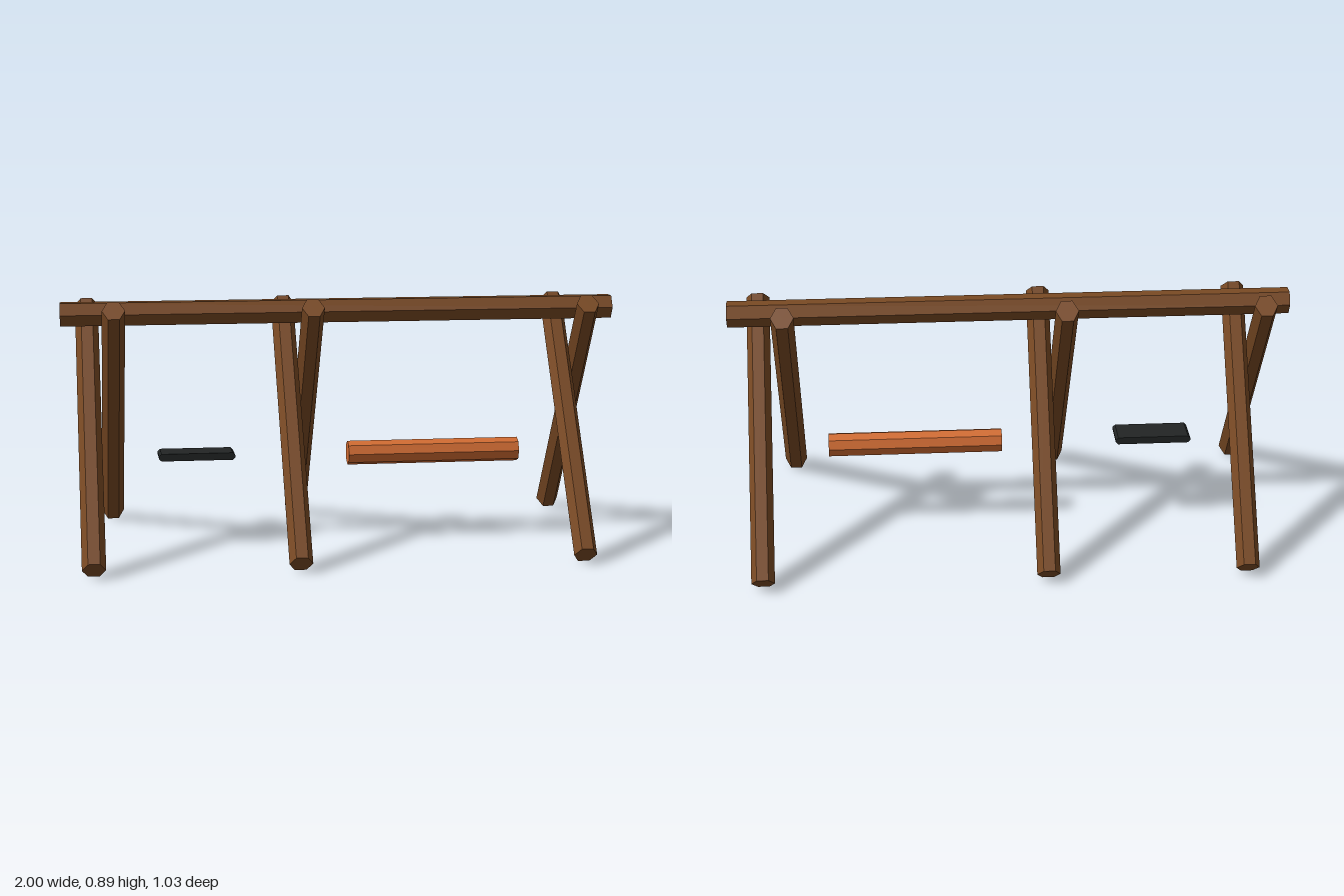
import * as THREE from 'three';

const paint = (color) => new THREE.MeshStandardMaterial({ color, flatShading: true });

export function createModel() {
  const model = new THREE.Group();
  const wood = paint(0x7a4a24);
  const add = (name, geometry, material) => {
    const mesh = new THREE.Mesh(geometry, material);
    mesh.name = name;
    model.add(mesh);
    return mesh;
  };

  // Hexagonal top beam, flat side up
  const beam = add('topBeam', new THREE.CylinderGeometry(0.047, 0.047, 2, 6), wood);
  beam.rotation.z = Math.PI / 2;
  beam.position.y = 0.845;

  // Crossed hexagonal legs with slanted end cuts; side is +1 for front, -1 for back
  const makeLeg = (side) => {
    const foot = new THREE.Vector3(0, 0.0285, 0.4875 * side);
    const top = new THREE.Vector3(0, 0.866, -0.1 * side);
    const hex = new THREE.CylinderGeometry(1, 1, 1, 6);
    hex.rotateY(Math.PI / 2); // corners towards +x and -x
    const cut = 0.0275 / Math.cos(Math.PI / 6);
    const shear = new THREE.Matrix4().makeBasis(
      new THREE.Vector3(0.041, 0, 0),
      top.clone().sub(foot),
      new THREE.Vector3(0, cut * side, cut)
    );
    // The cylinder's corners sit on z by default, so keep them on x here
    shear.setPosition(foot.clone().add(top).multiplyScalar(0.5));
    return hex.applyMatrix4(shear);
  };
  const frontLeg = makeLeg(1);
  const backLeg = makeLeg(-1);
  for (const x of [-0.904, -0.197, 0.803]) {
    add('frontLeg', frontLeg, wood).position.x = x;
    add('backLeg', backLeg, wood).position.x = x + 0.091;
  }

  // Round log swing, an octagon with a corner on top
  const log = add('logSwing', new THREE.CylinderGeometry(0.044, 0.044, 0.63, 8), paint(0xd26c32));
  log.rotation.z = Math.PI / 2;
  log.position.set(0.345, 0.321, 0);

  // Flat swing seat with chamfered ends
  const w = 0.137, h = 0.013, c = 0.009;
  const profile = new THREE.Shape([
    [-w + c, -h], [w - c, -h], [w, -h + c], [w, h - c],
    [w - c, h], [-w + c, h], [-w, h - c], [-w, -h + c],
  ].map(([x, y]) => new THREE.Vector2(x, y)));
  const seat = new THREE.ExtrudeGeometry(profile, { depth: 0.112, bevelEnabled: false });
  seat.translate(0, 0, -0.056);
  add('flatSwingSeat', seat, paint(0x222525)).position.set(-0.522, 0.329, 0);

  return model;
}
